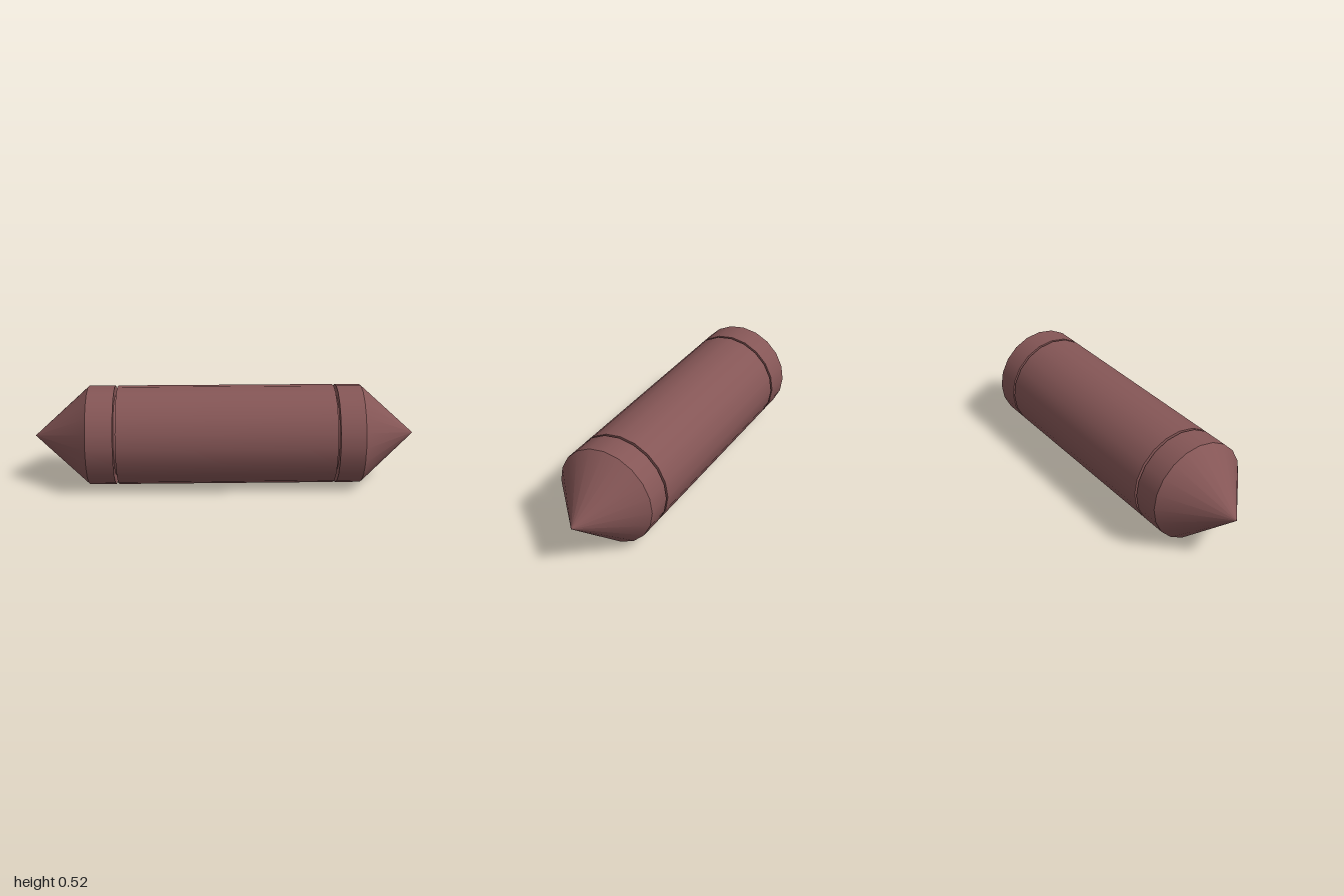
import * as THREE from 'three';

const SIDES = 20;
const RADIUS = 0.261;
const CORE_RADIUS = 0.213;
const AXIS_Y = 0.262;

export function createModel() {
  const group = new THREE.Group();
  group.name = 'pointedCapsule';
  const material = new THREE.MeshStandardMaterial({ color: 0x855656 });

  // A round section lying along x from x0 to x1, with a radius at each end
  function section(name, x0, x1, r0, r1, open = false) {
    const geometry = new THREE.CylinderGeometry(r1, r0, x1 - x0, SIDES, 1, open);
    geometry.rotateZ(-Math.PI / 2);
    const mesh = new THREE.Mesh(geometry, material);
    mesh.name = name;
    mesh.position.set((x0 + x1) / 2, AXIS_Y, 0);
    group.add(mesh);
  }

  // Main barrel and the end collars, parted by narrow grooves
  section('barrel', -0.561, 0.571, RADIUS, RADIUS);
  section('rightCollar', -0.714, -0.575, RADIUS, RADIUS);
  section('leftCollar', 0.584, 0.714, RADIUS, RADIUS);

  // Recessed necks at the bottom of the grooves
  section('rightNeck', -0.575, -0.561, CORE_RADIUS, CORE_RADIUS, true);
  section('leftNeck', 0.571, 0.584, CORE_RADIUS, CORE_RADIUS, true);

  // Pointed ends
  section('rightCone', -1, -0.714, 0, RADIUS, true);
  section('leftCone', 0.714, 1, RADIUS, 0, true);

  return group;
}
